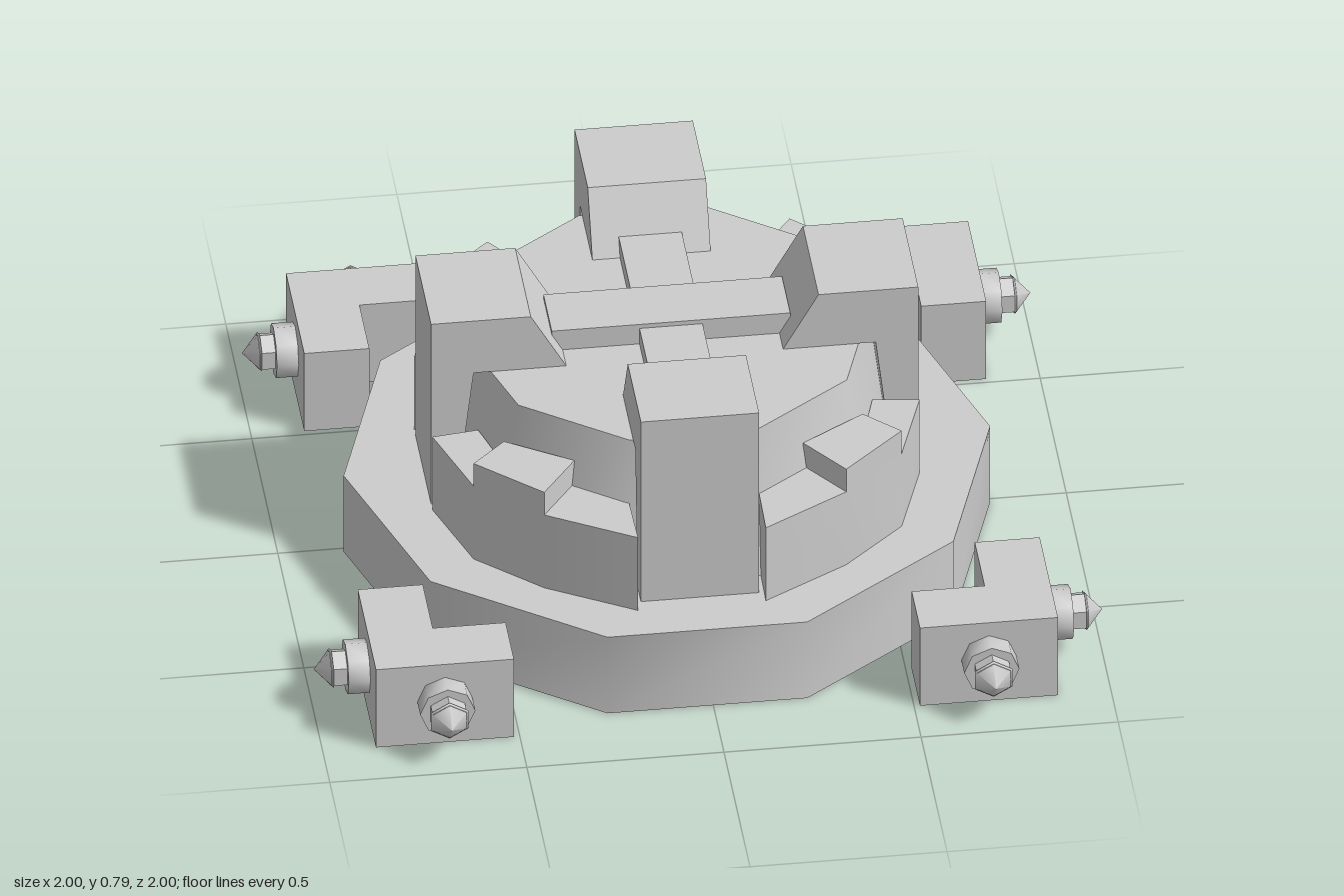
import * as THREE from 'three';
import { toCreasedNormals } from 'three/addons/utils/BufferGeometryUtils.js';

const solid = new THREE.MeshStandardMaterial({ color: 0xcccccc });
const shell = new THREE.MeshStandardMaterial({ color: 0xcccccc, side: THREE.DoubleSide });

function add(parent, name, geometry, material = solid) {
  const mesh = new THREE.Mesh(geometry, material);
  mesh.name = name;
  parent.add(mesh);
  return mesh;
}

// Plan outline given as [x, z] pairs
const planShape = (pts) => new THREE.Shape(pts.map(([x, z]) => new THREE.Vector2(x, -z)));

// Closed upright prism over a plan outline
function prism(pts, y0, y1) {
  const g = new THREE.ExtrudeGeometry(planShape(pts), { depth: y1 - y0, bevelEnabled: false });
  return toCreasedNormals(g.rotateX(-Math.PI / 2).translate(0, y0, 0), 0.7);
}

// Flat horizontal sheet, optionally with a hole
function sheet(pts, y, hole) {
  const s = planShape(pts);
  if (hole) s.holes.push(new THREE.Path(hole.map(([x, z]) => new THREE.Vector2(x, -z))));
  return new THREE.ShapeGeometry(s).rotateX(-Math.PI / 2).translate(0, y, 0);
}

// Open wall around a plan outline; outlines run from +x towards -z
function wall(low, high, y0, y1) {
  const v = [];
  low.forEach((a, i) => {
    const j = (i + 1) % low.length, b = low[j], c = high[j], d = high[i];
    const A = [a[0], y0, a[1]], B = [b[0], y0, b[1]], C = [c[0], y1, c[1]], D = [d[0], y1, d[1]];
    v.push(...A, ...B, ...C, ...A, ...C, ...D);
  });
  const g = new THREE.BufferGeometry();
  g.setAttribute('position', new THREE.Float32BufferAttribute(v, 3));
  return toCreasedNormals(g, 0.7);
}

const decagon = (r) => Array.from({ length: 10 }, (_, i) => {
  const a = (i * Math.PI) / 5;
  return [r * Math.cos(a), -r * Math.sin(a)];
});

// Stud pointing along +z: collar, shank and pointed tip
function makeStud() {
  const stud = new THREE.Group();
  stud.name = 'stud';
  const stage = (name, r0, r1, len, z, sides) => {
    const g = new THREE.CylinderGeometry(r1, r0, len, sides);
    add(stud, name, toCreasedNormals(g.rotateX(Math.PI / 2).translate(0, 0, z + len / 2), 0.9));
  };
  stage('collar', 0.07, 0.07, 0.055, 0, 8);
  stage('shank', 0.05, 0.05, 0.045, 0.05, 6);
  stage('tip', 0.055, 0, 0.045, 0.09, 6);
  return stud;
}

// Corner bracket, hollow underneath, with a stud on each outer face
function makeBracket(sx, sz) {
  const bracket = new THREE.Group();
  bracket.name = 'cornerBracket';
  const L = [[0.865, 0.865], [0.865, 0.515], [0.70, 0.515], [0.70, 0.705], [0.515, 0.705], [0.515, 0.865]];
  let pts = L.map(([x, z]) => [x * sx, z * sz]);
  if (sx * sz < 0) pts = pts.reverse();
  add(bracket, 'bracketWalls', wall(pts, pts, 0, 0.24), shell);
  add(bracket, 'bracketTop', sheet(pts, 0.24), shell);
  const a = makeStud();
  a.position.set(0.69 * sx, 0.13, 0.865 * sz);
  a.rotation.y = sz > 0 ? 0 : Math.PI;
  const b = makeStud();
  b.position.set(0.865 * sx, 0.13, 0.69 * sz);
  b.rotation.y = (sx * Math.PI) / 2;
  bracket.add(a, b);
  return bracket;
}

export function createModel() {
  const model = new THREE.Group();
  model.name = 'turretBase';
  const core = new THREE.Group();
  core.name = 'core';
  core.position.set(-0.015, 0, 0.015);
  model.add(core);

  // Base ring: thin outer wall with a flat rim on top
  add(core, 'baseRingWall', wall(decagon(0.82), decagon(0.82), 0, 0.235), shell);
  add(core, 'baseRingRim', sheet(decagon(0.82), 0.235, decagon(0.595)), shell);

  // Hollow tapered drum, flat on top
  add(core, 'drumWall', wall(decagon(0.595), decagon(0.515), 0.235, 0.63), shell);
  add(core, 'drumTop', sheet(decagon(0.515), 0.63), shell);

  // Stepped collar in four quarters, each with a raised block at its middle
  const outer = [[0.618, 0.175], [0.543, 0.40], [0.383, 0.547], [0.162, 0.675]];
  const inner = [[0.165, 0.51], [0.29, 0.42], [0.455, 0.315], [0.50, 0.16]];
  for (const sx of [1, -1]) for (const sz of [1, -1]) {
    const flip = (pts) => pts.map(([x, z]) => [x * sx, z * sz]);
    add(core, 'collarQuarter', prism(flip([...outer, ...inner]), 0.235, 0.46));
    add(core, 'collarBlock', prism(flip([outer[1], outer[2], inner[1], inner[2]]), 0.45, 0.53));
    model.add(makeBracket(sx, sz));
  }

  // Four hooked pillars reaching over the drum
  const profile = [[0.618, 0.2], [0.618, 0.79], [0.365, 0.79], [0.275, 0.63], [0.51, 0.63], [0.56, 0.2]];
  for (let k = 0; k < 4; k++) {
    const shift = k % 2 ? 0.02 : 0;
    const s = new THREE.Shape(profile.map(([r, y]) => new THREE.Vector2(r + shift, y)));
    const g = new THREE.ExtrudeGeometry(s, { depth: 0.3, bevelEnabled: false }).translate(0, 0, -0.15);
    add(core, 'pillar', toCreasedNormals(g, 0.3)).rotation.y = (k * Math.PI) / 2;
  }

  // Crossed beams on the drum top
  add(core, 'crossBeamWide', new THREE.BoxGeometry(0.605, 0.07, 0.16).translate(0, 0.655, 0));
  add(core, 'crossBeamDeep', new THREE.BoxGeometry(0.16, 0.055, 0.64).translate(0, 0.65, 0));

  return model;
}
